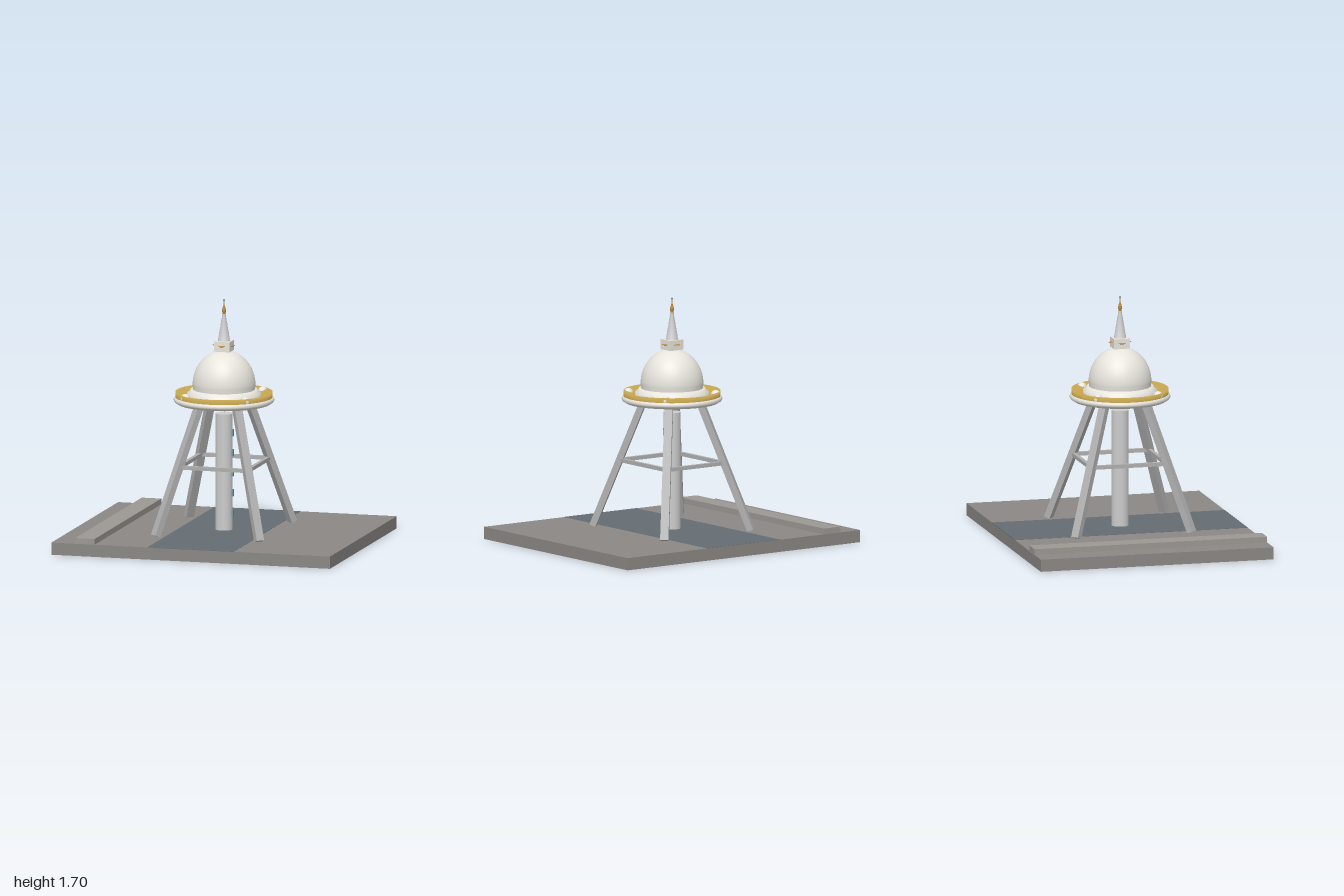
import * as THREE from 'three';

const paint = (color) => new THREE.MeshStandardMaterial({ color, side: THREE.DoubleSide });
const stone = paint(0x8a8784), kerbStone = paint(0x9b9793), water = paint(0x646d73);
const steel = paint(0xb0b0b0), grey = paint(0xcccccc), white = paint(0xe6e4dc);
const gold = paint(0xc9a850), amber = paint(0xb98a3c), glass = paint(0x6f97a3);

export function createModel() {
  const model = new THREE.Group();

  const add = (name, geometry, material, x = 0, y = 0, z = 0) => {
    const mesh = new THREE.Mesh(geometry, material);
    mesh.name = name;
    mesh.position.set(x, y, z);
    model.add(mesh);
    return mesh;
  };
  const box = (name, w, h, d, material, x, y, z) =>
    add(name, new THREE.BoxGeometry(w, h, d), material, x, y, z);
  const lathe = (name, points, material, segments = 64) =>
    add(name, new THREE.LatheGeometry(points.map(([r, y]) => new THREE.Vector2(r, y)), segments), material);
  // Square bar between two points
  const bar = (name, from, to, w, h, material) => {
    const a = new THREE.Vector3(...from), b = new THREE.Vector3(...to);
    const mid = a.clone().add(b).multiplyScalar(0.5);
    box(name, w, h, a.distanceTo(b), material, mid.x, mid.y, mid.z).lookAt(b);
  };

  // Ground slab, dark channel and raised kerb
  box('groundSlab', 2, 0.085, 1.66, stone, 0, 0.0425, 0);
  box('channel', 0.62, 0.004, 1.66, water, 0, 0.0845, 0);
  box('kerb', 0.14, 0.045, 1.66, kerbStone, -0.76, 0.1025, 0);

  // Central shaft with a column of windows on its left side
  add('shaft', new THREE.CylinderGeometry(0.06, 0.06, 0.815, 40), grey, 0, 0.4925, 0);
  for (let i = 0; i < 5; i++) box('shaftWindow', 0.02, 0.05, 0.026, glass, 0.058, 0.205 + i * 0.14, 0);

  // Four splayed legs tied by a ring of braces
  for (const sx of [-1, 1]) {
    for (const sz of [-1, 1]) {
      bar('leg', [0.372 * sx, 0.09, 0.412 * sz], [0.13 * sx, 0.99, 0.14 * sz], 0.057, 0.045, steel);
    }
    bar('sideBrace', [0.247 * sx, 0.553, -0.27], [0.247 * sx, 0.553, 0.27], 0.026, 0.026, steel);
    bar('crossBrace', [-0.247, 0.553, 0.27 * sx], [0.247, 0.553, 0.27 * sx], 0.026, 0.026, steel);
  }

  // Round deck and dished gold terrace
  lathe('deck', [[0, 0.97], [0.322, 0.97], [0.322, 0.97], [0.342, 0.983], [0.348, 0.995],
    [0.344, 1.008], [0.335, 1.016], [0, 1.016]], white);
  lathe('terrace', [[0.336, 1.012], [0.336, 1.05], [0.235, 1.018]], gold);

  // Corner knobs on the terrace
  for (let i = 0; i < 4; i++) {
    const a = Math.PI / 4 + i * Math.PI / 2;
    add('terraceKnob', new THREE.SphereGeometry(0.034, 24, 16), white,
      0.304 * Math.cos(a), 1.026, 0.304 * Math.sin(a));
  }

  // Stepped foot moulding and dome
  lathe('domeFoot', [[0.258, 1.015], [0.255, 1.042], [0.235, 1.052], [0.23, 1.068], [0.2, 1.07]], white);
  const domeProfile = [[0.212, 1.05]];
  for (let i = 0; i <= 24; i++) {
    const a = (i / 24) * Math.PI / 2;
    domeProfile.push([0.217 * Math.cos(a), 1.1 + 0.24 * Math.sin(a)]);
  }
  lathe('dome', domeProfile, white);

  // Square block with a flat gold eye on each face
  box('crownBlock', 0.112, 0.07, 0.112, white, 0, 1.372, 0);
  for (let i = 0; i < 4; i++) {
    const a = i * Math.PI / 2;
    add('eye', new THREE.SphereGeometry(0.025, 20, 12), amber, 0.056 * Math.cos(a), 1.376, 0.056 * Math.sin(a))
      .scale.y = 0.16;
  }

  // Ringed spire
  const rings = 13, step = 0.19 / rings;
  for (let i = 0; i < rings; i++) {
    const r = 0.044 - 0.031 * i / (rings - 1);
    add('spireRing', new THREE.CylinderGeometry(r * 0.88, r, step, 28), grey, 0, 1.405 + step * (i + 0.5), 0);
  }

  // Gold finial and jewel
  lathe('finial', [[0.008, 1.59], [0.013, 1.61], [0.014, 1.622], [0.01, 1.638], [0.005, 1.655],
    [0.003, 1.69], [0, 1.692]], amber, 24);
  add('jewel', new THREE.SphereGeometry(0.006, 16, 10), glass, 0, 1.692, 0);

  return model;
}
